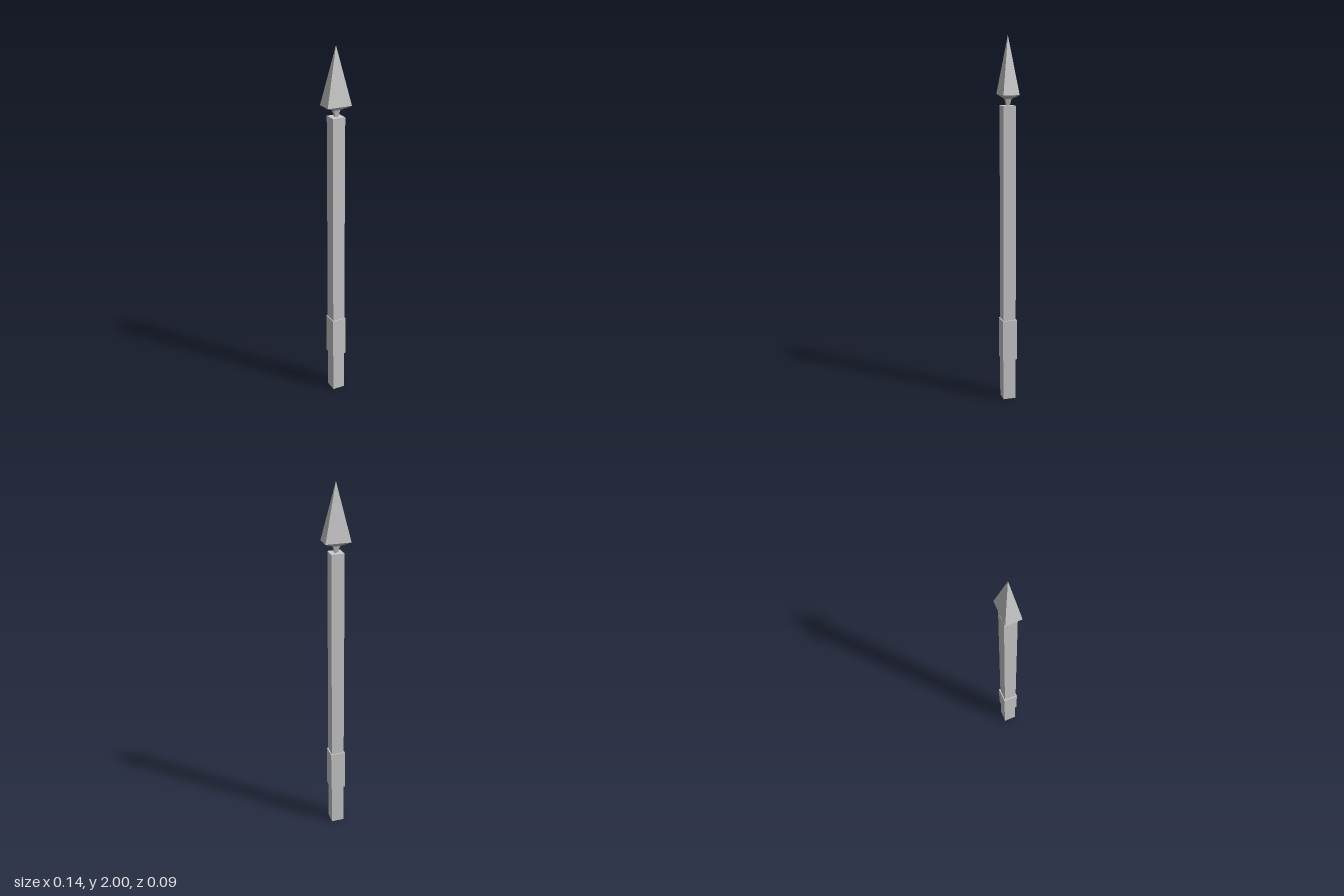
import * as THREE from 'three';

const material = new THREE.MeshStandardMaterial({ color: 0xcccccc, flatShading: true });

function add(group, name, geometry, y) {
  const mesh = new THREE.Mesh(geometry, material);
  mesh.name = name;
  mesh.position.y = y;
  group.add(mesh);
}

// Straight or tapered block between two heights; sizes are [width, depth]
function addBlock(group, name, y0, y1, bottom, top = bottom) {
  const geometry = new THREE.BoxGeometry(1, y1 - y0, 1);
  const p = geometry.attributes.position;
  for (let i = 0; i < p.count; i++) {
    const [w, d] = p.getY(i) > 0 ? top : bottom;
    p.setX(i, p.getX(i) * w);
    p.setZ(i, p.getZ(i) * d);
  }
  geometry.computeVertexNormals();
  add(group, name, geometry, (y0 + y1) / 2);
}

export function createModel() {
  const group = new THREE.Group();
  group.name = 'spear';

  // Square shaft with a thicker grip
  addBlock(group, 'shaft', 0, 1.64, [0.07, 0.07]);
  addBlock(group, 'grip', 0.235, 0.465, [0.082, 0.082]);

  // Narrow neck flaring into the underside of the head
  addBlock(group, 'neck', 1.64, 1.675, [0.017, 0.017], [0.034, 0.03]);
  addBlock(group, 'headUnderside', 1.675, 1.697, [0.034, 0.03], [0.137, 0.087]);

  // Four-sided point, wider than it is deep
  const point = new THREE.ConeGeometry(Math.SQRT1_2, 0.303, 4, 1, true);
  point.rotateY(Math.PI / 4).scale(0.137, 1, 0.087);
  add(group, 'headPoint', point, 1.697 + 0.303 / 2);

  return group;
}
